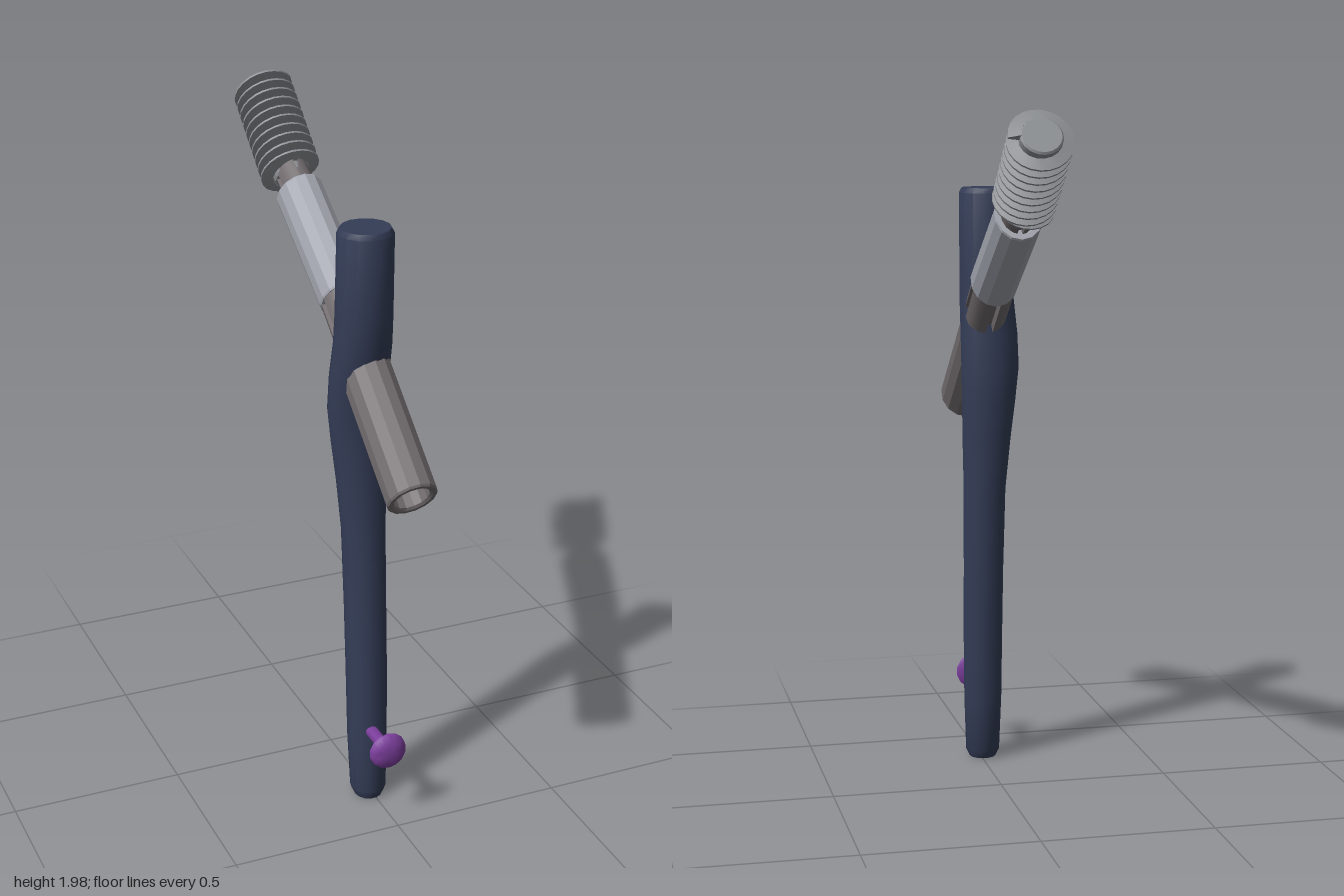
import * as THREE from 'three';
import { toCreasedNormals } from 'three/addons/utils/BufferGeometryUtils.js';

const mat = (name, color, side = THREE.FrontSide) => {
  const m = new THREE.MeshStandardMaterial({ color, side });
  m.name = name;
  return m;
};

// Skin a list of point rings; optionally close both ends with fans
function loft(rings, caps) {
  const pos = [], idx = [], n = rings[0].length;
  rings.forEach(r => r.forEach(p => pos.push(p.x, p.y, p.z)));
  for (let i = 0; i < rings.length - 1; i++) {
    for (let j = 0; j < n; j++) {
      const k = (j + 1) % n, a = i * n + j, b = i * n + k;
      idx.push(a, b, b + n, a, b + n, a + n);
    }
  }
  if (caps) {
    const last = (rings.length - 1) * n;
    for (let j = 1; j < n - 1; j++) {
      idx.push(0, j + 1, j, last, last + j, last + j + 1);
    }
  }
  const g = new THREE.BufferGeometry();
  g.setAttribute('position', new THREE.Float32BufferAttribute(pos, 3));
  g.setIndex(idx);
  return g;
}

const lathe = (pts, sides) =>
  new THREE.LatheGeometry(pts.map(p => new THREE.Vector2(p[0], p[1])), sides);

export function createModel() {
  const model = new THREE.Group();
  model.name = 'hipNail';
  const navy = mat('navy rod', 0x343d57);
  const taupe = mat('taupe tube', 0x736d6f);
  const silver = mat('silver sleeve', 0xa3a6af);
  const steel = mat('steel screw', 0x8d9094);
  const purple = mat('purple bolt', 0x7d3f9e);

  function add(name, geo, material, crease = 0.6) {
    const mesh = new THREE.Mesh(toCreasedNormals(geo, crease), material);
    mesh.name = name;
    model.add(mesh);
    return mesh;
  }

  // Put a part whose axis is local +y at point a, aiming at point b
  function aim(mesh, a, b) {
    mesh.position.copy(a);
    mesh.quaternion.setFromUnitVectors(new THREE.Vector3(0, 1, 0), b.clone().sub(a).normalize());
    return mesh;
  }
  const V = (x, y, z) => new THREE.Vector3(x, y, z);

  // Long rod: y, centre x, centre z, half width, half depth
  const sections = [
    [0.005, -0.008, 0.302, 0.040, 0.042],
    [0.03, -0.008, 0.300, 0.052, 0.054],
    [0.2, -0.006, 0.286, 0.058, 0.058],
    [0.4, -0.004, 0.274, 0.060, 0.060],
    [0.6, -0.003, 0.260, 0.061, 0.060],
    [0.85, -0.003, 0.243, 0.064, 0.059],
    [1.0, -0.008, 0.238, 0.073, 0.060],
    [1.12, -0.013, 0.230, 0.081, 0.063],
    [1.22, -0.017, 0.228, 0.087, 0.064],
    [1.32, -0.016, 0.238, 0.086, 0.068],
    [1.42, -0.012, 0.252, 0.082, 0.075],
    [1.5, -0.011, 0.257, 0.080, 0.078],
    [1.735, -0.008, 0.258, 0.078, 0.078],
    [1.75, -0.008, 0.258, 0.070, 0.070],
  ];
  const sides = 14;
  const rodRings = sections.map(([y, x, z, rx, rz]) =>
    Array.from({ length: sides }, (_, j) => {
      const a = (j / sides) * Math.PI * 2;
      return V(x + rx * Math.cos(a), y, z - rz * Math.sin(a));
    }));
  add('rod', loft(rodRings, true), navy);

  // Hollow front tube with a stepped bore
  const tubeA = V(-0.008, 1.088, 0.579), tubeB = V(-0.004, 1.345, 0.245);
  const tubeLen = tubeA.distanceTo(tubeB);
  const tubeGeo = lathe([
    [0, 0.22], [0.034, 0.22], [0.034, 0.1], [0.054, 0.1], [0.056, 0.006], [0.064, 0],
    [0.076, 0], [0.08, 0.006], [0.08, tubeLen], [0, tubeLen],
  ], sides).scale(0.89, 1, 1);
  aim(add('frontTube', tubeGeo, taupe, 0.3), tubeA, tubeB);

  // Slotted shaft running from the rod, through the sleeve, to the screw
  function slotted(name, a, b, r, depth) {
    const shape = new THREE.Shape();
    for (let k = 0; k < 4; k++) {
      const mid = (k * Math.PI) / 2, w = 0.17;
      const pts = [[mid - w, r], [mid - w, r - depth], [mid + w, r - depth], [mid + w, r]];
      for (let i = 1; i <= 3; i++) pts.push([mid + w + (i / 4) * (Math.PI / 2 - 2 * w), r]);
      pts.forEach(([t, q], i) =>
        shape[k + i === 0 ? 'moveTo' : 'lineTo'](q * Math.cos(t), q * Math.sin(t)));
    }
    const g = new THREE.ExtrudeGeometry(shape, { depth: a.distanceTo(b), bevelEnabled: false });
    g.rotateX(-Math.PI / 2).scale(0.86, 1, 1);
    aim(add(name, g, taupe, 0.4), a, b);
  }
  slotted('slottedShaft', V(-0.002, 1.355, 0.26), V(0.004, 1.50, 0.055), 0.072, 0.02);
  slotted('slottedNeck', V(0.005, 1.68, -0.2), V(0.008, 1.752, -0.335), 0.056, 0.015);

  // Smooth sleeve
  const slA = V(0.005, 1.483, 0.082), slB = V(0.005, 1.698, -0.243);
  const slLen = slA.distanceTo(slB);
  const sleeveGeo = lathe([
    [0, 0.01], [0.062, 0], [0.076, 0], [0.079, 0.006],
    [0.079, slLen - 0.006], [0.076, slLen], [0.06, slLen], [0.05, slLen - 0.02], [0, slLen - 0.02],
  ], sides).scale(0.86, 1, 1);
  aim(add('sleeve', sleeveGeo, silver, 0.3), slA, slB);

  // Lag screw: core and helical thread
  const scA = V(0.007, 1.722, -0.296), scB = V(0.019, 1.922, -0.566);
  const scLen = scA.distanceTo(scB);
  const core = lathe([[0, 0], [0.05, 0], [0.058, 0.03], [0.058, scLen - 0.005], [0.053, scLen], [0, scLen]], 18);
  aim(add('screwCore', core, steel), scA, scB);
  const turns = 10, perTurn = 22, steps = turns * perTurn, pitch = (scLen - 0.014) / turns;
  const threadRings = [];
  for (let i = 0; i <= steps; i++) {
    const a = (i / perTurn) * Math.PI * 2, y = 0.006 + (i / perTurn) * pitch;
    const tip = 0.089 - 0.03 * Math.max(0, 1 - i / 8);
    const at = (r, dy) => V(r * Math.cos(a), y + dy, -r * Math.sin(a));
    threadRings.push([at(0.055, 0.011), at(tip, 0.003), at(tip, -0.003), at(0.055, -0.011)]);
  }
  aim(add('screwThread', loft(threadRings, true), steel), scA, scB);

  // Locking bolt with a domed head
  const bolt = lathe([
    [0, 0], [0.018, 0], [0.018, 0.15], [0.024, 0.178], [0.05, 0.183], [0.056, 0.188],
    [0.053, 0.198], [0.038, 0.21], [0.02, 0.215], [0, 0.216],
  ], 14);
  aim(add('lockingBolt', bolt, purple), V(-0.013, 0.233, 0.26), V(-0.013, 0.233, 0.5));

  return model;
}
